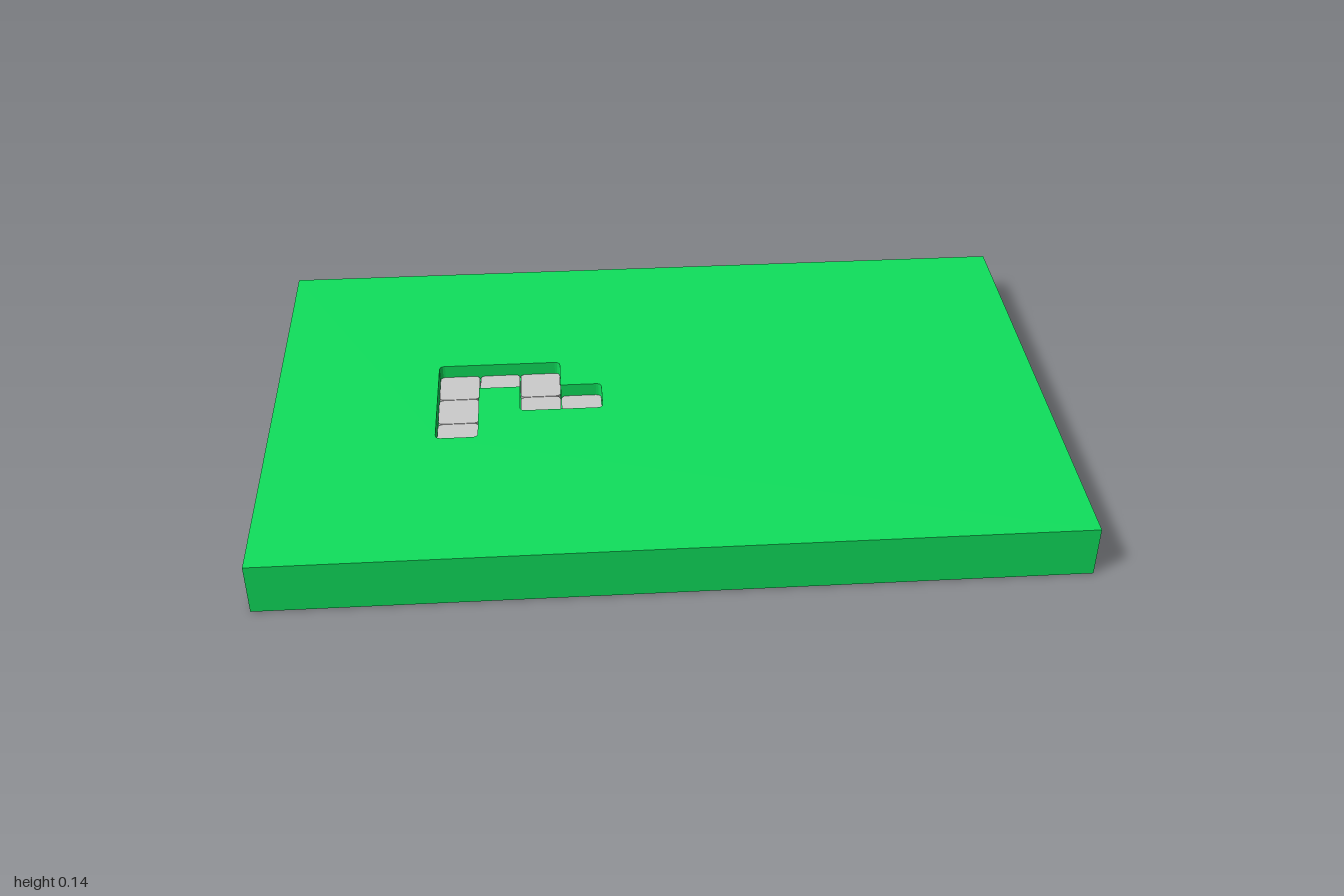
import * as THREE from 'three';

const W = 2, D = 1.26, H = 0.135;
const PITCH = 0.107, X0 = -0.579, Z0 = -0.158, R = 0.014;
const FLOOR = 0.09, TILE_TOP = 0.1;

const green = new THREE.MeshStandardMaterial({ color: 0x0fdf5c });
const pale = new THREE.MeshStandardMaterial({ color: 0xdcdcdc });

// Closed path through the corners; corners turning outward are rounded
function trace(path, points, radius) {
  const pts = points.map(([x, y]) => new THREE.Vector2(x, y));
  pts.forEach((p, i) => {
    const a = pts[(i + pts.length - 1) % pts.length].clone().sub(p).normalize();
    const b = pts[(i + 1) % pts.length].clone().sub(p).normalize();
    const r = a.cross(b) < 0 ? radius : 0;
    const s = p.clone().addScaledVector(a, r), e = p.clone().addScaledVector(b, r);
    if (i === 0) path.moveTo(s.x, s.y); else path.lineTo(s.x, s.y);
    if (r > 0) path.quadraticCurveTo(p.x, p.y, e.x, e.y);
  });
  path.closePath();
  return path;
}

const rect = (x0, y0, x1, y1) => [[x0, y0], [x1, y0], [x1, y1], [x0, y1]];

// Horizontal plate cut from a plan outline (shape y becomes z)
function plate(name, shape, top, bottom, material) {
  const geo = new THREE.ExtrudeGeometry(shape, { depth: top - bottom, bevelEnabled: false, curveSegments: 4 });
  geo.rotateX(Math.PI / 2).translate(0, top, 0);
  const mesh = new THREE.Mesh(geo, material);
  mesh.name = name;
  return mesh;
}

export function createModel() {
  const group = new THREE.Group();
  group.name = 'slabWithInlay';

  // Stepped pocket outline in tile units
  const pocket = [[0, 0], [3, 0], [3, 1], [4, 1], [4, 2], [2, 2], [2, 1], [1, 1], [1, 3], [0, 3]]
    .map(([c, r]) => [X0 + c * PITCH, Z0 + r * PITCH]);

  // Slab with the pocket cut into it
  const outline = trace(new THREE.Shape(), rect(-W / 2, -D / 2, W / 2, D / 2), 0);
  outline.holes.push(trace(new THREE.Path(), pocket, R));
  group.add(plate('slab', outline, H, 0, green));
  group.add(plate('pocketFloor', trace(new THREE.Shape(), pocket, R), FLOOR, 0, green));

  // Rounded square tiles sunk in the pocket
  const cells = [[0, 0], [1, 0], [2, 0], [0, 1], [2, 1], [3, 1], [0, 2]];
  const gap = 0.001;
  for (const [c, r] of cells) {
    const x = X0 + c * PITCH, z = Z0 + r * PITCH;
    const square = rect(x + gap, z + gap, x + PITCH - gap, z + PITCH - gap);
    group.add(plate('tile', trace(new THREE.Shape(), square, R), TILE_TOP, FLOOR, pale));
  }
  return group;
}
